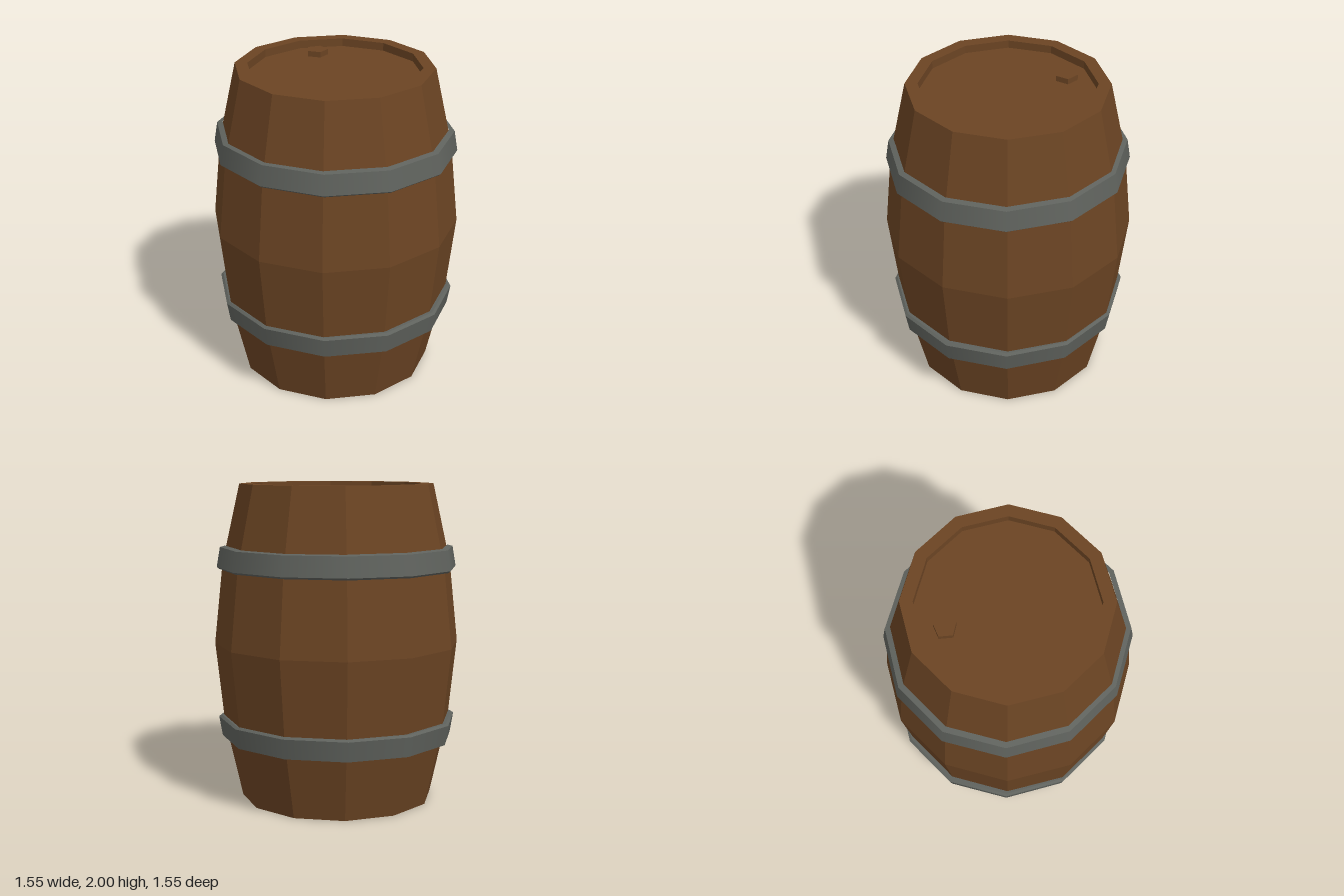
import * as THREE from 'three';
import { mergeGeometries } from 'three/addons/utils/BufferGeometryUtils.js';

const SIDES = 12;
const wood = new THREE.MeshStandardMaterial({ color: 0x6b4423 });
wood.name = 'brown wood';
const iron = new THREE.MeshStandardMaterial({ color: 0x5f625d });
iron.name = 'grey iron';

const lathe = (points) =>
  new THREE.LatheGeometry(points.map(([r, y]) => new THREE.Vector2(r, y)), SIDES);

// Splits every face so that each one is shaded flat
function faceted(geometry) {
  const flat = geometry.toNonIndexed();
  flat.computeVertexNormals();
  return flat;
}

function addMesh(group, name, geometry, material) {
  const mesh = new THREE.Mesh(geometry, material);
  mesh.name = name;
  group.add(mesh);
  return mesh;
}

// Hoop: one lathe per profile edge, smooth around and sharp at its rims
function hoopGeometry(profile) {
  const bands = [];
  for (let i = 0; i < profile.length - 1; i++) bands.push(lathe([profile[i], profile[i + 1]]));
  return mergeGeometries(bands);
}

export function createModel() {
  const barrel = new THREE.Group();
  barrel.name = 'barrel';

  // Bulging staves with a recessed head at both ends
  const half = [[0, 0.05], [0.533, 0.05], [0.533, 0], [0.61, 0], [0.722, 0.5]];
  const mirrored = half.map(([r, y]) => [r, 2 - y]).reverse();
  addMesh(barrel, 'staves', faceted(lathe([...half, [0.775, 1], ...mirrored])), wood);

  // Iron hoops, sloped with the staves and slightly deeper than wide
  const upper = [[0.69, 1.468], [0.73, 1.468], [0.745, 1.48], [0.724, 1.605], [0.69, 1.613]];
  const lower = upper.map(([r, y]) => [r, 2 - y]).reverse();
  for (const [name, profile] of [['upperHoop', upper], ['lowerHoop', lower]]) {
    addMesh(barrel, name, hoopGeometry(profile), iron).scale.z = 1.023;
  }

  // Five-sided bung in the top head
  const bung = addMesh(barrel, 'bung', faceted(new THREE.CylinderGeometry(0.069, 0.069, 0.05, 5)), wood);
  bung.position.set(0.23, 1.96, -0.301);
  bung.rotation.y = Math.PI;

  return barrel;
}
